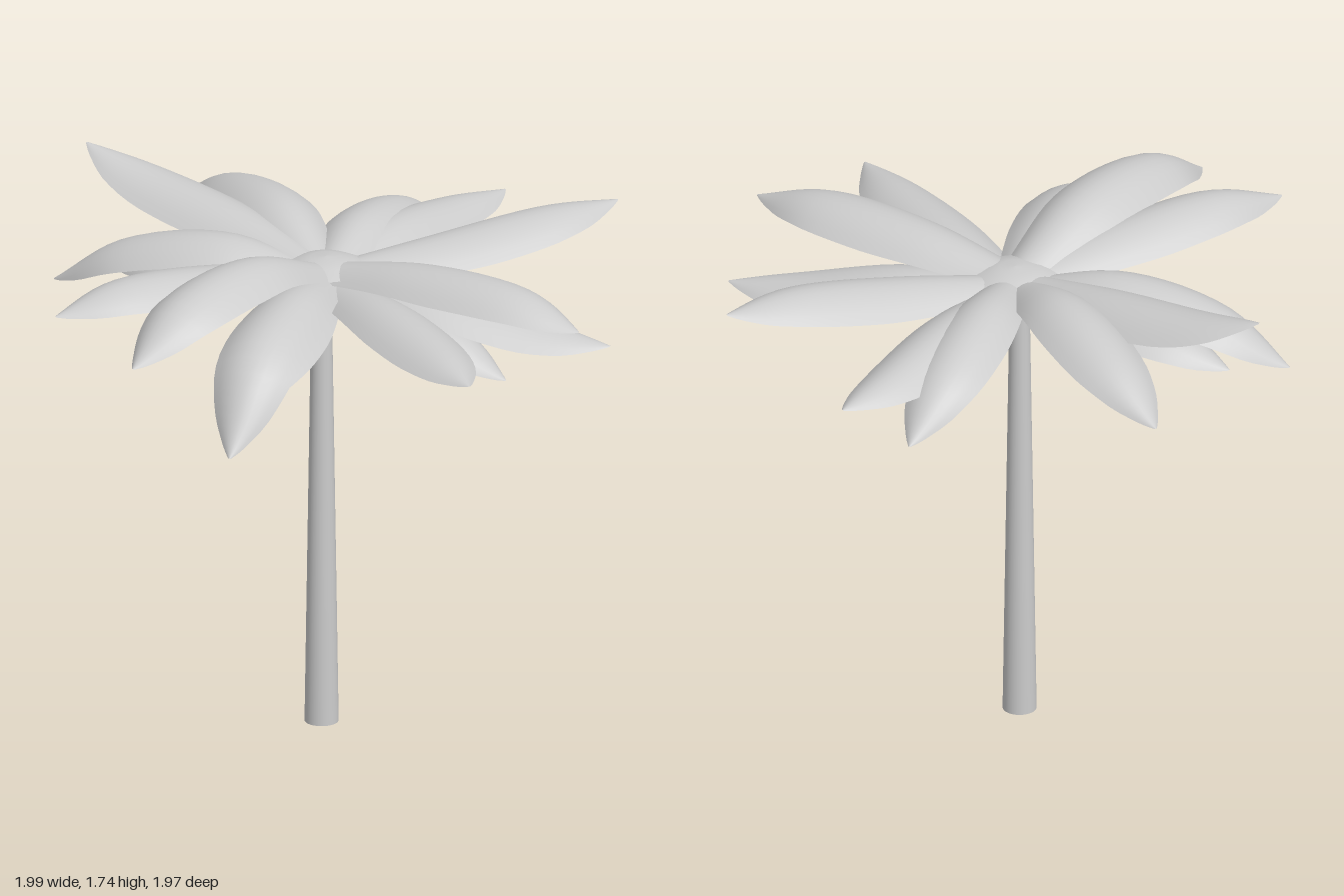
import * as THREE from 'three';

const material = new THREE.MeshStandardMaterial({ color: 0xcccccc, side: THREE.DoubleSide });

// Half width of a frond from root (0) to tip (1)
const outline = new THREE.SplineCurve([
  [0, 0.08], [0.14, 0.1], [0.32, 0.125], [0.5, 0.137], [0.7, 0.126], [0.85, 0.09], [0.95, 0.039], [1, 0.004],
].map(([t, w]) => new THREE.Vector2(t, w)));

// Arched leaf blade: a domed cross-section swept along a bent midrib
function frond([tipX, tipY, tipZ], rootY, innerY, outerY, bow = 0, width = 1) {
  const rows = 22, cols = 10;
  const dir = new THREE.Vector3(tipX + 0.02, 0, tipZ + 0.01).normalize();
  const side = new THREE.Vector3(dir.z, 0, -dir.x);
  const root = new THREE.Vector3(-0.02, rootY, -0.01).addScaledVector(dir, 0.03);
  const tip = new THREE.Vector3(tipX, tipY, tipZ);
  const along = (f, y) => root.clone().lerp(tip, f).addScaledVector(side, bow).setY(y);
  const rib = new THREE.CatmullRomCurve3([root, along(0.35, innerY), along(0.75, outerY), tip]);
  const positions = [], index = [];
  for (let i = 0; i <= rows; i++) {
    const o = outline.getPoint(i / rows);
    const t = Math.min(1, Math.max(0, o.x));
    const p = rib.getPointAt(t);
    const up = rib.getTangentAt(t).cross(side).normalize();
    const w = o.y * width;
    for (let j = 0; j <= cols; j++) {
      const s = (j / cols) * 2 - 1;
      const q = p.clone().addScaledVector(side, s * w).addScaledVector(up, -0.5 * w * s * s);
      positions.push(q.x, q.y, q.z);
      if (i < rows && j < cols) {
        const a = i * (cols + 1) + j, b = a + cols + 1;
        index.push(a, b, a + 1, b, b + 1, a + 1);
      }
    }
  }
  const geometry = new THREE.BufferGeometry();
  geometry.setAttribute('position', new THREE.Float32BufferAttribute(positions, 3));
  geometry.setIndex(index);
  geometry.computeVertexNormals();
  return new THREE.Mesh(geometry, material);
}

export function createModel() {
  const model = new THREE.Group();
  model.name = 'palmTree';

  // Tapered trunk, open at both ends
  const trunk = new THREE.Mesh(new THREE.CylinderGeometry(0.032, 0.055, 1.52, 24, 1, true), material);
  trunk.name = 'trunk';
  trunk.position.set(-0.03, 0.76, -0.022);
  model.add(trunk);

  // Shallow dome closing the middle of the crown
  const hub = new THREE.Mesh(new THREE.LatheGeometry([
    [0.14, 1.57], [0.09, 1.592], [0.05, 1.602], [0, 1.606],
  ].map(([r, y]) => new THREE.Vector2(r, y)), 24), material);
  hub.name = 'crownCentre';
  hub.position.set(-0.02, 0, -0.01);
  model.add(hub);

  // Fronds: tip, heights of root, inner and outer midrib, sideways bow, width factor
  const fronds = [
    [[0.99, 1.65, -0.05], 1.57, 1.62, 1.665, -0.025, 1.08],
    [[-1.0, 1.59, 0.15], 1.57, 1.64, 1.66, 0, 1.08],
    [[0.11, 1.51, 0.98], 1.54, 1.57, 1.55, 0.02],
    [[-0.12, 1.49, -0.99], 1.57, 1.67, 1.62, -0.02],
    [[-0.52, 1.74, -0.88], 1.58, 1.65, 1.7, -0.03, 1.08],
    [[0.55, 1.57, 0.80], 1.59, 1.65, 1.65, 0.01, 1.08],
    [[0.74, 1.41, 0.57], 1.53, 1.54, 1.46, 0, 1.05],
    [[0.79, 1.52, -0.56], 1.55, 1.6, 1.56, 0.03, 0.95],
    [[0.60, 1.40, -0.66], 1.58, 1.63, 1.56, 0.025, 0.95],
    [[-0.87, 1.53, 0.52], 1.59, 1.71, 1.68, 0, 1.08],
    [[-0.62, 1.27, 0.74], 1.56, 1.6, 1.53, 0, 1.05],
    [[-0.73, 1.40, -0.61], 1.56, 1.63, 1.56, 0, 1.05],
    [[-0.47, 1.39, 0.60], 1.52, 1.53, 1.49, 0, 0.9],
    [[0.41, 1.31, 0.50], 1.52, 1.5, 1.43, 0, 0.9],
    [[-0.53, 1.42, -0.59], 1.53, 1.55, 1.51, 0, 0.95],
  ];
  const crown = new THREE.Group();
  crown.name = 'crown';
  fronds.forEach((f, i) => {
    const leaf = frond(...f);
    leaf.name = `frond${i + 1}`;
    crown.add(leaf);
  });
  model.add(crown);

  return model;
}
